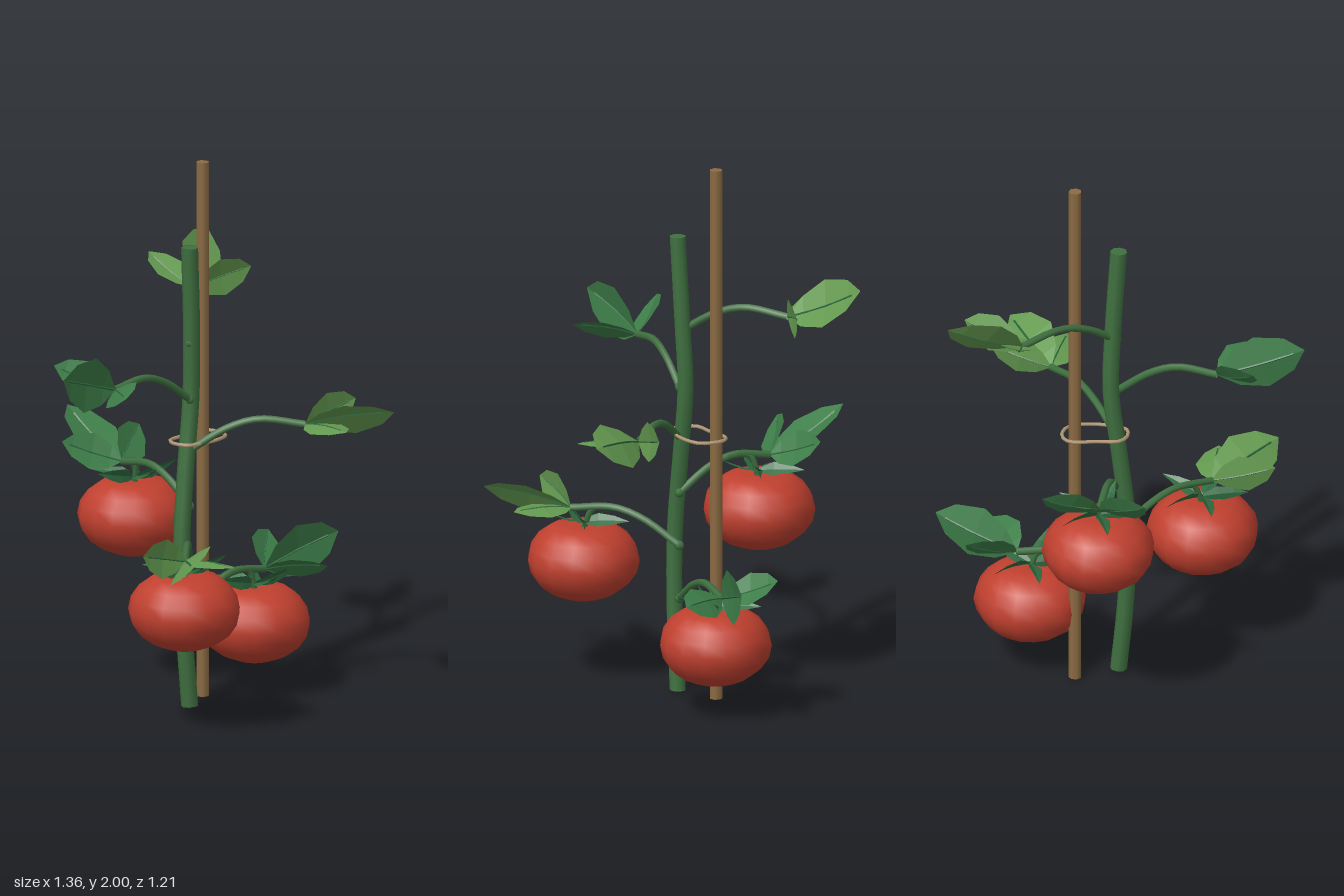
import * as THREE from 'three';

const mat = (color, extra = {}) => new THREE.MeshStandardMaterial({ color, ...extra });
const stemMat = mat(0x3f7040, { side: THREE.DoubleSide });
const sepalMat = mat(0x2f6b40, { side: THREE.DoubleSide, flatShading: true });
const leafMats = [0x3d7d48, 0x649a50].map(c => mat(c, { side: THREE.DoubleSide, flatShading: true }));
const fruitMat = mat(0xc0402f);
const stakeMat = mat(0x8b6b43);
const twineMat = mat(0xb49b78);
const UP = new THREE.Vector3(0, 1, 0);
const V = (x, y, z) => new THREE.Vector3(x, y, z);

function add(parent, name, geometry, material) {
  const mesh = new THREE.Mesh(geometry, material);
  mesh.name = name;
  parent.add(mesh);
  return mesh;
}

function tube(points, radius, segments, sides, closed = false) {
  return new THREE.TubeGeometry(new THREE.CatmullRomCurve3(points, closed), segments, radius, sides, closed);
}

// Leaf blade along +y: rows of left edge, midrib, right edge, bent towards +z
function bladeGeometry(length, rows, bend, cup) {
  const pos = [], index = [];
  rows.forEach(([t, w], i) => {
    const z = bend * t * t;
    pos.push(-w, t * length, z + cup * w, 0, t * length, z, w, t * length, z + cup * w);
    if (i === 0) return;
    for (let c = 0; c < 2; c++) {
      const a = (i - 1) * 3 + c, b = a + 3;
      index.push(a, a + 1, b + 1, a, b + 1, b);
    }
  });
  const g = new THREE.BufferGeometry();
  g.setAttribute('position', new THREE.Float32BufferAttribute(pos, 3));
  g.setIndex(index);
  g.computeVertexNormals();
  return g;
}

const LEAF_LENGTH = 0.325, LEAF_BEND = 0.06;
const leafGeo = bladeGeometry(LEAF_LENGTH,
  [[0, 0.004], [0.2, 0.065], [0.5, 0.102], [0.82, 0.066], [1, 0.002]], LEAF_BEND, 0.2);
const veinGeo = tube([0, 0.3, 0.6, 0.88].map(t => V(0, t * LEAF_LENGTH, LEAF_BEND * t * t + 0.001)), 0.004, 6, 4);
const sepalGeo = bladeGeometry(0.17, [[0, 0.008], [0.35, 0.028], [0.7, 0.018], [1, 0.001]], -0.03, 0.25);

// Squat, softly lobed fruit with a dimple on top
const fruitGeo = new THREE.SphereGeometry(0.205, 15, 10);
{
  const p = fruitGeo.attributes.position;
  for (let i = 0; i < p.count; i++) {
    const x = p.getX(i), y = p.getY(i), z = p.getZ(i);
    const r = Math.hypot(x, z) / 0.205;
    const lobe = 1 + 0.02 * r * Math.cos(5 * Math.atan2(z, x));
    const dimple = y > 0 ? 0.03 * Math.max(0, 1 - r / 0.6) : 0;
    p.setXYZ(i, x * lobe, y * 0.74 - dimple, z * lobe);
  }
  fruitGeo.computeVertexNormals();
  // Join the shading across the wrap seam
  const n = fruitGeo.attributes.normal;
  for (let row = 0; row <= 10; row++) {
    const a = row * 16, b = a + 15;
    const m = V(n.getX(a) + n.getX(b), n.getY(a) + n.getY(b), n.getZ(a) + n.getZ(b)).normalize();
    n.setXYZ(a, m.x, m.y, m.z);
    n.setXYZ(b, m.x, m.y, m.z);
  }
}

function heading(angle, tilt) {
  return V(Math.cos(angle) * Math.cos(tilt), Math.sin(tilt), Math.sin(angle) * Math.cos(tilt));
}

// One large leaflet flanked by two smaller ones
function leafCluster(angle, material) {
  const cluster = new THREE.Group();
  cluster.name = 'leafCluster';
  for (const side of [-1, 0, 1]) {
    const leaf = new THREE.Group();
    leaf.name = side ? 'sideLeaflet' : 'endLeaflet';
    add(leaf, 'blade', leafGeo, material);
    add(leaf, 'vein', veinGeo, sepalMat);
    leaf.quaternion.setFromUnitVectors(UP, heading(angle + side * 0.88, side ? 0.25 : 0.31));
    leaf.scale.setScalar(side ? 0.72 : 1);
    cluster.add(leaf);
  }
  return cluster;
}

function tomato(stalkTop) {
  const fruit = new THREE.Group();
  fruit.name = 'tomato';
  add(fruit, 'fruit', fruitGeo, fruitMat);
  add(fruit, 'stalk', tube([stalkTop, stalkTop.clone().multiplyScalar(0.5).add(V(0, 0.09, 0)), V(0, 0.11, 0)], 0.011, 6, 6), stemMat);
  for (let i = 0; i < 5; i++) {
    const sepal = add(fruit, 'sepal', sepalGeo, sepalMat);
    sepal.position.y = 0.14;
    sepal.quaternion.setFromUnitVectors(UP, heading(0.5 + i * Math.PI * 0.4, 0.2));
  }
  return fruit;
}

export function createModel() {
  const plant = new THREE.Group();
  plant.name = 'tomatoPlant';

  // Stake
  add(plant, 'stake', new THREE.CylinderGeometry(0.024, 0.024, 2, 7), stakeMat).position.set(0.14, 1, -0.045);

  // Main stem with closed ends
  const stemPoints = [
    V(-0.005, 0.005, 0.042), V(-0.032, 0.3, 0.042), V(-0.04, 0.6, 0.037), V(-0.01, 0.9, 0.027),
    V(0.02, 1.15, 0.022), V(0.014, 1.4, 0.032), V(-0.005, 1.72, 0.042)];
  add(plant, 'stem', tube(stemPoints, 0.031, 24, 8), stemMat);
  for (const [p, turn] of [[stemPoints[0], 1], [stemPoints[6], -1]]) {
    const cap = add(plant, 'stemEnd', new THREE.CircleGeometry(0.031, 8), stemMat);
    cap.position.copy(p);
    cap.rotation.x = turn * Math.PI / 2;
  }

  // Branches: base height, heading in quarter turns, length, fruit centre if any
  const branches = [
    [0.35, 0, 0.37, V(0.32, 0.265, 0.04)],
    [0.55, 1.5, 0.42, V(-0.268, 0.46, 0.3)],
    [0.75, 3, 0.36, V(0.012, 0.66, -0.273)],
    [0.96, 0.5, 0.42],
    [1.15, 2, 0.37],
    [1.36, 3.5, 0.42]];
  branches.forEach(([height, quarter, length, fruitAt], i) => {
    const angle = quarter * Math.PI / 2;
    const at = (t, rise) => V(0, height + rise, 0.037).addScaledVector(heading(angle, 0), t * length);
    const branch = new THREE.Group();
    branch.name = 'branch';
    const path = [at(0, 0), at(0.33, 0.085), at(0.6, 0.118), at(1, 0.1)];
    add(branch, 'leafStem', tube(path, 0.014, 12, 6), stemMat);
    add(branch, 'node', new THREE.SphereGeometry(0.018, 6, 5), stemMat).position.copy(path[0]);
    const leaves = leafCluster(angle, leafMats[i % 2]);
    leaves.position.copy(path[3]);
    branch.add(leaves);
    if (fruitAt) {
      const fruit = tomato(at(0.72, 0.115).sub(fruitAt));
      fruit.position.copy(fruitAt);
      branch.add(fruit);
    }
    plant.add(branch);
  });

  // Twine tying the stem to the stake
  const tie = [
    [-0.045, 0.0], [-0.02, -0.045], [0.06, -0.06], [0.15, -0.08], [0.188, -0.045],
    [0.18, 0.035], [0.12, 0.065], [0.03, 0.07], [-0.03, 0.055]];
  add(plant, 'twineTie', tube(tie.map(([x, z]) => V(x, 0.985, z)), 0.007, 24, 5, true), twineMat);

  return plant;
}
